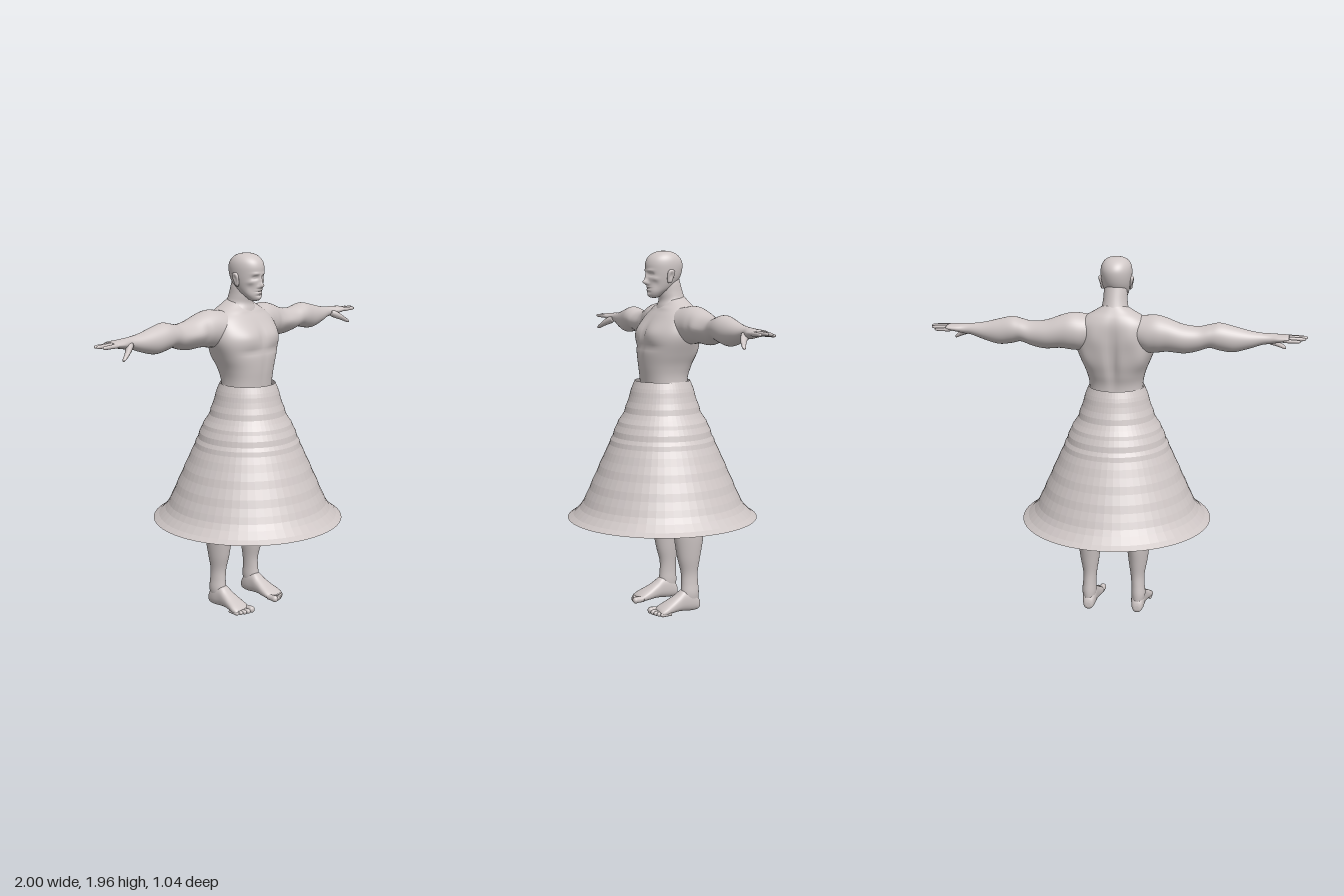
import * as THREE from 'three';

const clay = new THREE.MeshStandardMaterial({ color: 0xcfc7c6, side: THREE.DoubleSide });
clay.name = 'pale clay';

const spline = (p0, p1, p2, p3, t) =>
  p1 + 0.5 * t * (p2 - p0 + t * (2 * p0 - 5 * p1 + 4 * p2 - p3 + t * (3 * (p1 - p2) + p3 - p0)));

// Smooth body through rows [t, aMin, aMax, bMin, bMax] along an axis.
// The pair (a, b) is (y, z) for x, (z, x) for y and (x, y) for z.
// Bumps [x, y, z, width, height, depth, dx, dy, dz] push the skin, mirrored over x = 0.
function loft(axis, rows, { seg = 32, steps = 5, bumps = [], power = 1, flip = false } = {}) {
  const k = 'xyz'.indexOf(axis), pos = [], idx = [], n = rows.length;
  const row = i => rows[Math.min(n - 1, Math.max(0, i))];
  const rings = [];
  for (let i = 0; i < n - 1; i++)
    for (let s = 0; s < steps; s++)
      rings.push(row(i).map((v, c) => spline(row(i - 1)[c], v, row(i + 1)[c], row(i + 2)[c], s / steps)));
  rings.push(rows[n - 1]);
  const push = (t, a, b) => {
    const p = [0, 0, 0];
    p[k] = t; p[(k + 1) % 3] = a; p[(k + 2) % 3] = b;
    const q = [...p], side = Math.sign(p[0]);
    for (const [x, y, z, w, h, d, dx, dy, dz] of bumps) {
      const e = ((Math.abs(p[0]) - x) / w) ** 2 + ((p[1] - y) / h) ** 2 + ((p[2] - z) / d) ** 2;
      const f = Math.exp(-e);
      q[0] += side * dx * f; q[1] += dy * f; q[2] += dz * f;
    }
    pos.push(flip ? -q[0] : q[0], q[1], q[2]);
  };
  const bend = v => Math.sign(v) * Math.abs(v) ** power;
  for (const [t, a0, a1, b0, b1] of rings)
    for (let j = 0; j < seg; j++) {
      const u = j / seg * Math.PI * 2;
      push(t, (a0 + a1) / 2 + (a1 - a0) / 2 * bend(Math.cos(u)), (b0 + b1) / 2 + (b1 - b0) / 2 * bend(Math.sin(u)));
    }
  const tri = (a, b, c) => flip ? idx.push(a, c, b) : idx.push(a, b, c);
  const last = (rings.length - 1) * seg;
  for (const r of [rings[0], rings[rings.length - 1]]) push(r[0], (r[1] + r[2]) / 2, (r[3] + r[4]) / 2);
  for (let j = 0; j < seg; j++) {
    const m = (j + 1) % seg;
    for (let o = 0; o < last; o += seg) {
      tri(o + j, o + m, o + seg + m);
      tri(o + j, o + seg + m, o + seg + j);
    }
    tri(last + seg, m, j);
    tri(last + seg + 1, last + j, last + m);
  }
  const g = new THREE.BufferGeometry();
  g.setAttribute('position', new THREE.Float32BufferAttribute(pos, 3));
  g.setIndex(idx);
  g.computeVertexNormals();
  return g;
}

export function createModel() {
  const model = new THREE.Group();
  model.name = 'figure in a flared skirt';
  const add = (name, geometry) => {
    const m = new THREE.Mesh(geometry, clay);
    m.name = name;
    model.add(m);
  };
  const pair = (name, axis, rows, options = {}) => {
    add('left ' + name, loft(axis, rows, options));
    add('right ' + name, loft(axis, rows, { ...options, flip: true }));
  };
  // Rows symmetric in x: [y, zMin, zMax, halfWidth]
  const even = rows => rows.map(([y, z0, z1, w]) => [y, z0, z1, -w, w]);

  // Skirt: a flared, faintly banded shell, open above and below
  const profile = [[.52, .52], [.49, .54], [.455, .575], [.435, .605], [.42, .64], [.4, .68], [.385, .72],
    [.36, .77], [.345, .81], [.325, .85], [.308, .89], [.29, .925], [.283, .95], [.27, .97], [.263, 1.0],
    [.247, 1.03], [.24, 1.05], [.222, 1.075], [.207, 1.1], [.2, 1.13], [.187, 1.16], [.178, 1.19],
    [.172, 1.215], [.165, 1.235], [.15, 1.27]];
  const skirt = new THREE.LatheGeometry(profile.map(p => new THREE.Vector2(...p)), 60).toNonIndexed();
  skirt.computeVertexNormals();
  add('skirt', skirt);

  // Torso with chest, shoulder blades and spine groove
  add('torso', loft('y', even([
    [.92, -.12, .07, .12], [1.0, -.14, .09, .16], [1.12, -.13, .1, .15], [1.27, -.125, .112, .143],
    [1.35, -.145, .12, .157], [1.42, -.163, .122, .185], [1.5, -.172, .115, .215], [1.56, -.174, .095, .215],
    [1.62, -.172, .055, .195], [1.66, -.16, .02, .15], [1.69, -.14, 0, .1], [1.72, -.12, -.02, .05]]), {
    seg: 80, power: .85, bumps: [
      [.09, 1.53, .1, .075, .05, .06, 0, 0, .014], [0, 1.53, .11, .015, .06, .05, 0, 0, -.006],
      [.08, 1.455, .12, .1, .016, .05, 0, 0, -.007], [0, 1.37, .12, .012, .08, .05, 0, 0, -.004],
      [0, 1.42, -.17, .025, .17, .05, 0, 0, .022], [.1, 1.56, -.16, .05, .06, .05, 0, 0, -.009],
      [.07, 1.66, .02, .07, .012, .05, 0, 0, .006], [.14, 1.44, -.13, .04, .07, .05, .008, 0, -.008]]
  }));

  // Neck spreading into the shoulders
  add('neck', loft('y', even([
    [1.59, -.165, .04, .14], [1.64, -.163, .03, .135], [1.67, -.148, .022, .1], [1.7, -.13, .015, .073],
    [1.74, -.115, .022, .064], [1.79, -.1, .025, .06], [1.83, -.09, .02, .05]])));

  // Head, with the face shaped by small pushes
  add('head', loft('y', even([
    [1.712, .04, .06, .008], [1.718, .022, .076, .028], [1.74, -.01, .086, .046], [1.77, -.06, .087, .061],
    [1.81, -.092, .09, .073], [1.85, -.108, .094, .08], [1.89, -.112, .095, .082], [1.92, -.1, .084, .076],
    [1.943, -.076, .06, .06], [1.956, -.045, .03, .036], [1.96, -.015, .005, .008]]), {
    seg: 112, steps: 9, bumps: [
      [0, 1.795, .095, .011, .013, .04, 0, 0, .024], [0, 1.82, .095, .009, .026, .04, 0, 0, .012],
      [.014, 1.788, .09, .007, .007, .03, 0, 0, .006],
      [.03, 1.836, .085, .017, .01, .03, 0, 0, -.013], [.03, 1.836, .08, .01, .005, .03, 0, 0, .006],
      [.028, 1.857, .085, .024, .007, .03, 0, 0, .005], [0, 1.77, .09, .02, .004, .03, 0, 0, .005],
      [0, 1.763, .09, .022, .0025, .03, 0, 0, -.006], [0, 1.755, .09, .017, .005, .03, 0, 0, .005],
      [0, 1.742, .09, .022, .005, .03, 0, 0, -.005], [0, 1.726, .08, .016, .009, .03, 0, 0, .004],
      [.047, 1.785, .065, .015, .022, .03, 0, 0, -.006], [.048, 1.812, .065, .016, .012, .03, .003, 0, .003]]
  }));
  pair('ear', 'y', [
    [1.79, -.012, 0, .07, .076], [1.797, -.02, .006, .07, .083], [1.815, -.026, .009, .07, .087],
    [1.84, -.034, .008, .07, .094], [1.855, -.032, .002, .07, .094], [1.862, -.022, -.008, .072, .086]],
  { seg: 20, bumps: [[.095, 1.832, -.012, .02, .018, .008, -.01, 0, 0]] });

  // Arms from shoulder through elbow to the palm
  pair('arm', 'x', [
    [.08, 1.52, 1.655, -.14, .03], [.16, 1.478, 1.668, -.168, .025], [.22, 1.477, 1.674, -.175, .012],
    [.28, 1.485, 1.66, -.172, 0], [.36, 1.485, 1.632, -.168, -.015], [.44, 1.495, 1.622, -.155, -.016],
    [.5, 1.511, 1.633, -.15, -.01], [.55, 1.5, 1.642, -.148, -.008], [.62, 1.492, 1.627, -.14, -.014],
    [.7, 1.512, 1.607, -.125, -.028], [.77, 1.536, 1.597, -.113, -.042], [.81, 1.541, 1.595, -.112, -.036],
    [.85, 1.549, 1.592, -.12, -.024], [.89, 1.557, 1.59, -.122, -.022], [.905, 1.562, 1.586, -.118, -.028]],
  { seg: 40, bumps: [
    [.36, 1.56, -.01, .08, .03, .04, 0, 0, .01], [.38, 1.49, -.1, .06, .03, .05, 0, -.006, 0],
    [.29, 1.56, .01, .02, .07, .04, 0, 0, -.006]] });

  // Fingers and thumb
  [[-.11, .965, 1.565], [-.085, .99, 1.572], [-.06, 1.0, 1.575], [-.035, .985, 1.572]].forEach(([z, tip, y], i) => {
    const r = i ? .0105 : .009, x = s => .875 + (tip - .875) * s, zz = s => z + (z + .073) * .18 * s;
    pair('finger ' + (i + 1), 'x', [[0, .95], [.3, 1.1], [.55, .95], [.8, .9], [.95, .65], [1, .15]].map(([s, k]) =>
      [x(s), y - r * k, y + r * k, zz(s) - r * k, zz(s) + r * k]), { seg: 12, steps: 3 });
  });
  pair('thumb', 'x', [
    [.785, 1.545, 1.575, -.07, -.035], [.81, 1.53, 1.572, -.062, -.018], [.835, 1.52, 1.556, -.042, -.004],
    [.86, 1.509, 1.535, -.022, .006], [.88, 1.5, 1.521, -.01, .012], [.89, 1.499, 1.509, -.002, .01]], { seg: 14 });

  // Legs, continuing up beneath the skirt
  pair('leg', 'y', [
    [.04, -.148, -.05, .108, .168], [.1, -.153, -.048, .1, .178], [.16, -.149, -.052, .1, .173],
    [.22, -.148, -.05, .095, .173], [.3, -.16, -.03, .083, .187], [.4, -.175, -.012, .073, .2],
    [.46, -.171, -.006, .07, .204], [.52, -.155, 0, .066, .204], [.58, -.15, .012, .064, .2],
    [.7, -.155, .04, .04, .205], [.85, -.16, .065, .01, .205], [1.0, -.14, .07, .005, .165]],
  { seg: 36, bumps: [[.11, .4, -.17, .03, .07, .04, 0, 0, -.004], [.135, .54, .01, .03, .025, .03, 0, 0, .008]] });

  // Feet and toes
  pair('foot', 'z', [
    [-.158, .125, .15, .02, .045], [-.148, .11, .165, .005, .075], [-.11, .1, .175, 0, .12],
    [-.06, .097, .177, .004, .125], [-.02, .093, .182, .006, .098], [.02, .087, .19, .003, .074],
    [.06, .084, .199, 0, .053], [.085, .088, .197, .002, .038], [.095, .095, .19, .008, .028]],
  { seg: 32, power: .85 });
  [[.1, .135, .017], [.126, .13, .0125], [.147, .122, .0115], [.167, .112, .011], [.186, .1, .0105]].forEach(([x, tip, r], i) => {
    pair('toe ' + (i + 1), 'z', [[-.065, .9], [-.035, .95], [-.015, 1.05], [-.004, .75], [0, .2]].map(([dz, k]) =>
      [tip + dz, x - r * k, x + r * k, r - r * k + .001, r + r * k + .003]), { seg: 14, steps: 4 });
  });
  return model;
}
